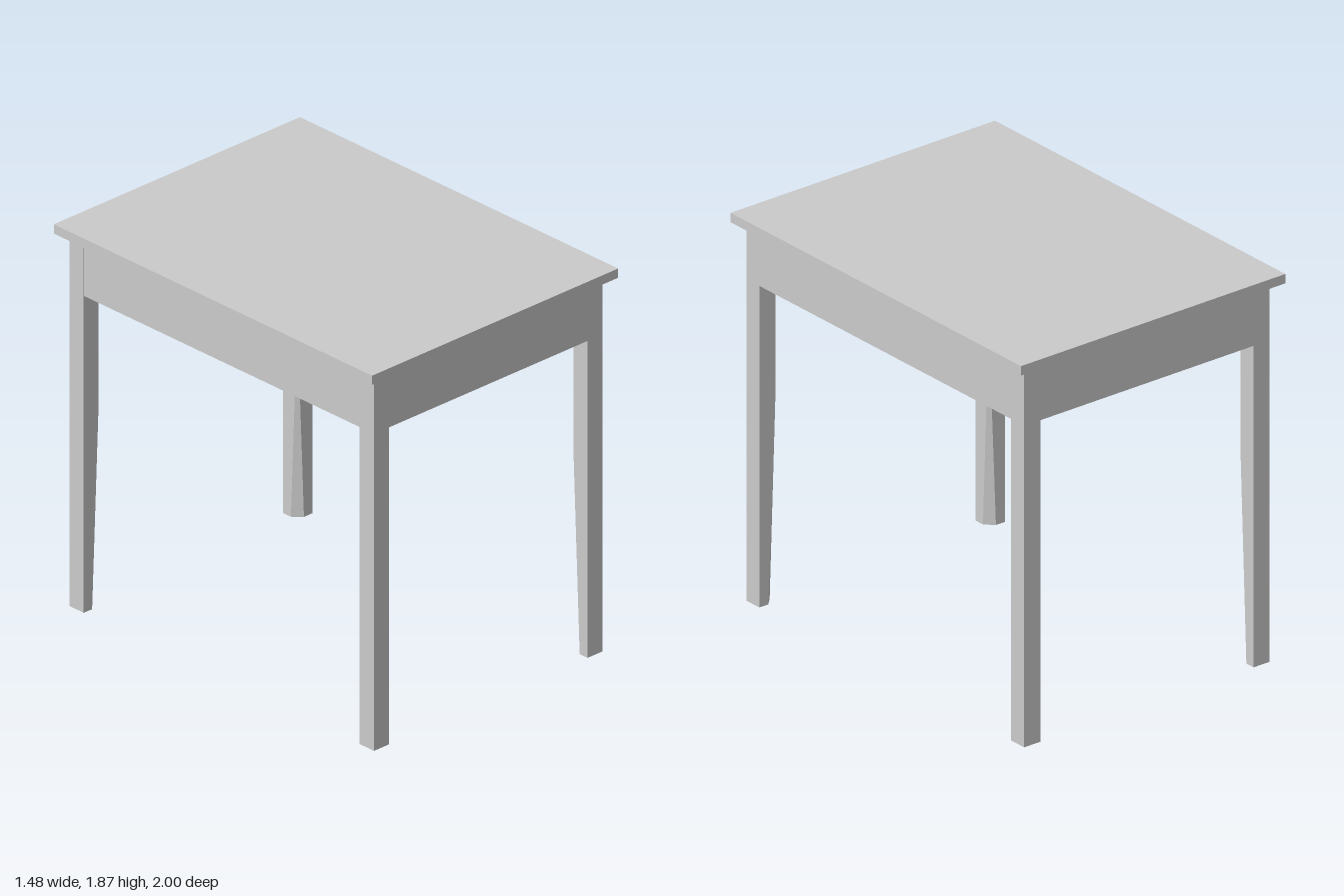
import * as THREE from 'three';
import { ConvexGeometry } from 'three/addons/geometries/ConvexGeometry.js';

const material = new THREE.MeshStandardMaterial({ color: 0xcccccc, flatShading: true });

// Outer half-extents of the leg frame, and its heights
const FX = 0.687, FZ = 0.957, LEG = 0.09;
const APRON_BOTTOM = 1.545, FRAME_TOP = 1.82, TOP = 1.865;
const APRON = 0.05;

function box(name, w, h, d, x, y, z) {
  const mesh = new THREE.Mesh(new THREE.BoxGeometry(w, h, d), material);
  mesh.name = name;
  mesh.position.set(x, y, z);
  return mesh;
}

// Square leg whose inner corner is shaved away towards the foot
function leg(name, sx, sz) {
  const cut = 0.04, cutStart = 1.0;
  const p = (u, y, v) => new THREE.Vector3(sx * (FX - u), y, sz * (FZ - v));
  const points = [
    // foot: five corners
    p(0, 0, 0), p(LEG, 0, 0), p(0, 0, LEG), p(LEG, 0, LEG - cut), p(LEG - cut, 0, LEG),
    // point where the shaved corner begins
    p(LEG, cutStart, LEG),
    // square head
    p(0, FRAME_TOP, 0), p(LEG, FRAME_TOP, 0), p(0, FRAME_TOP, LEG), p(LEG, FRAME_TOP, LEG),
  ];
  const mesh = new THREE.Mesh(new ConvexGeometry(points), material);
  mesh.name = name;
  return mesh;
}

export function createModel() {
  const group = new THREE.Group();
  group.name = 'table';

  group.add(box('tableTop', 1.48, TOP - FRAME_TOP, 2, 0, (TOP + FRAME_TOP) / 2, 0));

  for (const [sx, side] of [[1, 'Left'], [-1, 'Right']]) {
    for (const [sz, end] of [[1, 'front'], [-1, 'back']]) {
      group.add(leg(`${end}${side}Leg`, sx, sz));
    }
  }

  // Apron boards between the legs, a hair behind the leg faces
  const h = FRAME_TOP - APRON_BOTTOM, y = (FRAME_TOP + APRON_BOTTOM) / 2, inset = 0.002;
  for (const s of [1, -1]) {
    group.add(box(s > 0 ? 'frontApron' : 'backApron',
      2 * (FX - LEG), h, APRON, 0, y, s * (FZ - inset - APRON / 2)));
    group.add(box(s > 0 ? 'leftApron' : 'rightApron',
      APRON, h, 2 * (FZ - LEG), s * (FX - inset - APRON / 2), y, 0));
  }
  return group;
}
